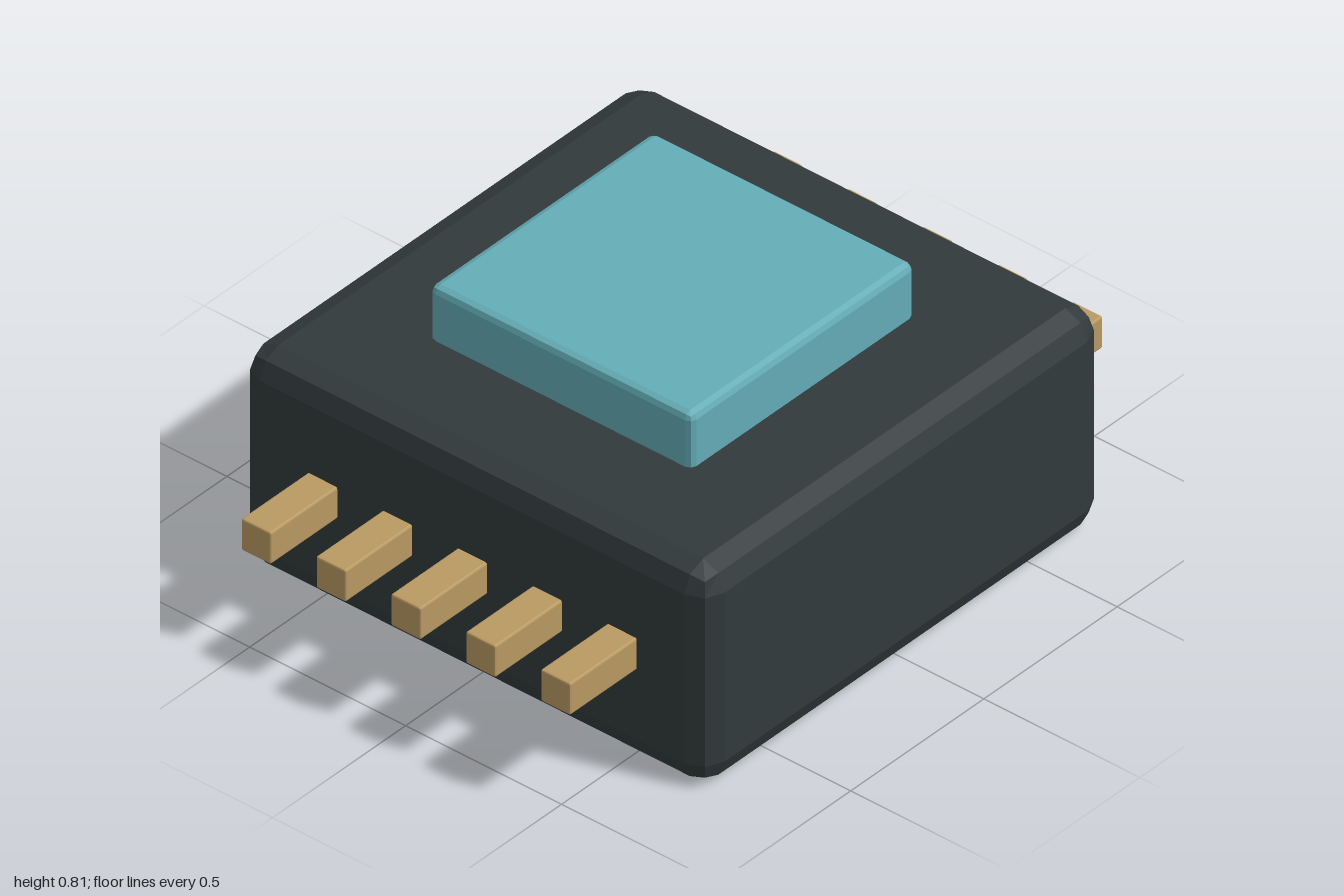
import * as THREE from 'three';
import { RoundedBoxGeometry } from 'three/addons/geometries/RoundedBoxGeometry.js';

const material = (color) => new THREE.MeshStandardMaterial({ color, flatShading: true });

// Box with a two-facet bevel on every edge
function bevelledBox(name, w, h, d, bevel, mat) {
  const mesh = new THREE.Mesh(new RoundedBoxGeometry(w, h, d, 1, bevel), mat);
  mesh.name = name;
  return mesh;
}

export function createModel() {
  const model = new THREE.Group();
  model.name = 'chip';

  const dark = material(0x323a3c);
  const teal = material(0x64adb7);
  const brass = material(0xba9a62);

  // Housing
  const body = bevelledBox('body', 1.5, 0.65, 1.5, 0.07, dark);
  body.position.y = 0.325;
  model.add(body);

  // Raised cap, sunk slightly into the housing
  const cap = bevelledBox('topCap', 0.84, 0.21, 0.84, 0.02, teal);
  cap.position.y = 0.705;
  model.add(cap);

  // Five contact pins along each side
  for (const side of [-1, 1]) {
    const row = new THREE.Group();
    row.name = side > 0 ? 'leftPins' : 'rightPins';
    for (let i = -2; i <= 2; i++) {
      const pin = bevelledBox('pin', 0.32, 0.095, 0.095, 0.005, brass);
      pin.position.set(side * 0.84, 0.328, i * 0.24);
      row.add(pin);
    }
    model.add(row);
  }

  return model;
}
